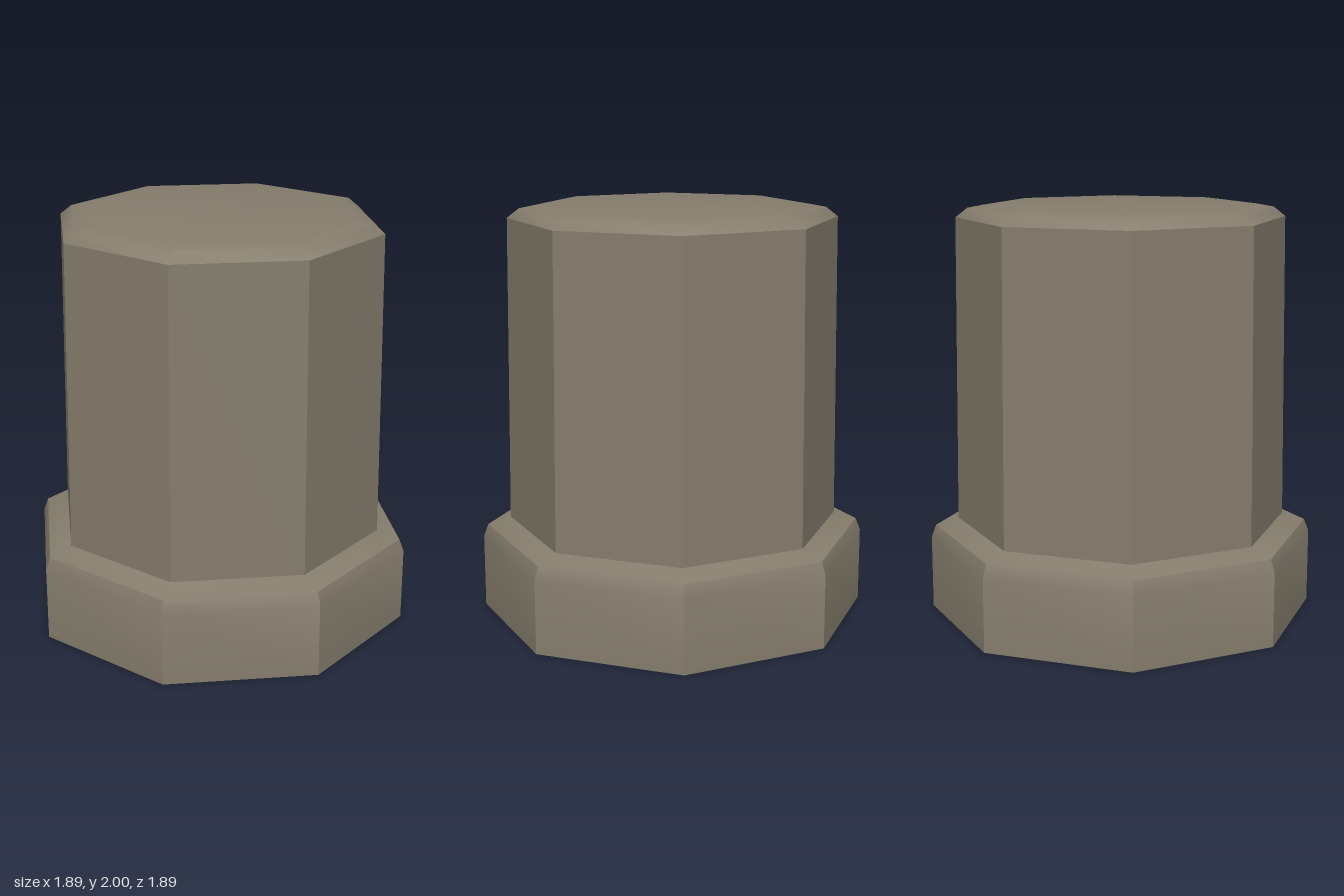
import * as THREE from 'three';
import { toCreasedNormals } from 'three/addons/utils/BufferGeometryUtils.js';

const SIDES = 8;
const CREASE = THREE.MathUtils.degToRad(32);

// Open octagonal shell turned from [radius, height] pairs, bottom to top
function octagonShell(name, profile, material) {
  const points = profile.map(([r, y]) => new THREE.Vector2(r, y));
  const geometry = toCreasedNormals(new THREE.LatheGeometry(points, SIDES), CREASE);
  const mesh = new THREE.Mesh(geometry, material);
  mesh.name = name;
  return mesh;
}

export function createModel() {
  const group = new THREE.Group();
  group.name = 'octagonalCap';

  const stone = new THREE.MeshStandardMaterial({ color: 0x857d6d, side: THREE.DoubleSide });
  stone.name = 'greyBrown';

  // Wide foot, open underneath, with a bevelled shoulder and sloping ledge
  group.add(octagonShell('baseFlange', [
    [0.945, 0], [0.945, 0.36], [0.922, 0.42], [0.81, 0.457],
  ], stone));

  // Slightly tapered hollow barrel with a bevelled, closed top
  group.add(octagonShell('barrel', [
    [0.81, 0.457], [0.792, 1.94], [0.735, 1.985], [0.655, 2], [0, 2],
  ], stone));

  return group;
}
